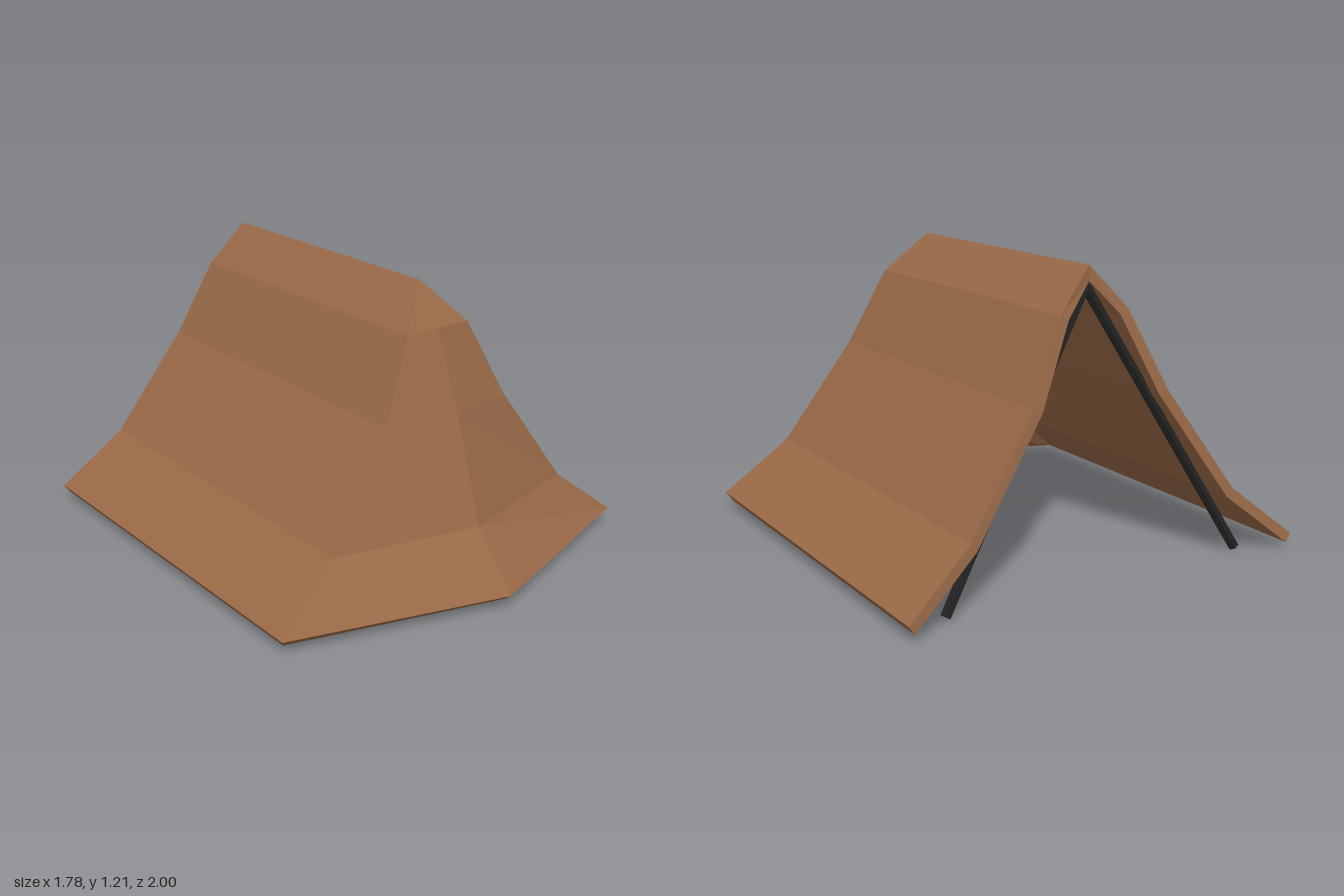
import * as THREE from 'three';

// Cross-section levels, ridge to hem: [half width, height, back z, front corner z, nose z]
const OUTER = [
  [0, 1.21, -0.785, 0.43, 0.43],
  [0.155, 1.04, -0.825, 0.545, 0.545],
  [0.31, 0.72, -0.885, 0.605, 0.67],
  [0.61, 0.29, -0.945, 0.66, 0.81],
  [0.89, 0.065, -1.0, 0.72, 1.0],
];
const INNER = [
  [0, 1.15, -0.785, 0.405, 0.405],
  [0.118, 1.02, -0.825, 0.51, 0.51],
  [0.27, 0.703, -0.885, 0.567, 0.63],
  [0.583, 0.257, -0.945, 0.625, 0.78],
  [0.866, 0.03, -1.0, 0.69, 0.97],
];

// Each level runs from the back edge on one side, round the nose, to the other back edge
const makeRows = (levels) => levels.map(([x, y, back, front, nose], i) => [
  [-x, y, back], [-x, y, front], [0, i === 4 ? Math.max(y, 0.04) : y, nose], [x, y, front], [x, y, back],
].map((p) => new THREE.Vector3(...p)));

function canopyGeometry() {
  const outer = makeRows(OUTER), inner = makeRows(INNER);
  const points = [];
  const tri = (a, b, c) => {
    if (new THREE.Triangle(a, b, c).getArea() > 1e-6) points.push(a, b, c);
  };
  const quad = (a, b, c, d) => { tri(a, b, c); tri(a, c, d); };

  for (let r = 0; r < 4; r++) {
    // Outer and inner skins
    for (let c = 0; c < 4; c++) {
      quad(outer[r][c], outer[r + 1][c], outer[r + 1][c + 1], outer[r][c + 1]);
      quad(inner[r][c + 1], inner[r + 1][c + 1], inner[r + 1][c], inner[r][c]);
    }
    // Edges of the open back
    quad(outer[r][0], inner[r][0], inner[r + 1][0], outer[r + 1][0]);
    quad(outer[r + 1][4], inner[r + 1][4], inner[r][4], outer[r][4]);
  }
  // Hem
  for (let c = 0; c < 4; c++) {
    quad(outer[4][c], inner[4][c], inner[4][c + 1], outer[4][c + 1]);
  }
  const geometry = new THREE.BufferGeometry().setFromPoints(points);
  geometry.computeVertexNormals();
  return geometry;
}

// Straight pole between two points
function pole(from, to, radius, material) {
  const axis = to.clone().sub(from);
  const mesh = new THREE.Mesh(new THREE.CylinderGeometry(radius, radius, axis.length(), 6), material);
  mesh.position.copy(from).add(to).multiplyScalar(0.5);
  mesh.quaternion.setFromUnitVectors(new THREE.Vector3(0, 1, 0), axis.normalize());
  return mesh;
}

export function createModel() {
  const group = new THREE.Group();
  group.name = 'tent';

  const cloth = new THREE.MeshStandardMaterial({ color: 0x9a6a48, flatShading: true });
  const dark = new THREE.MeshStandardMaterial({ color: 0x222222, flatShading: true });

  const canopy = new THREE.Mesh(canopyGeometry(), cloth);
  canopy.name = 'canopy';
  group.add(canopy);

  // Pair of poles holding up the open back
  for (const side of [-1, 1]) {
    const support = pole(
      new THREE.Vector3(0, 1.13, -0.76),
      new THREE.Vector3(side * 0.683, 0.013, -0.89),
      0.022, dark);
    support.name = side > 0 ? 'leftPole' : 'rightPole';
    group.add(support);
  }
  return group;
}
